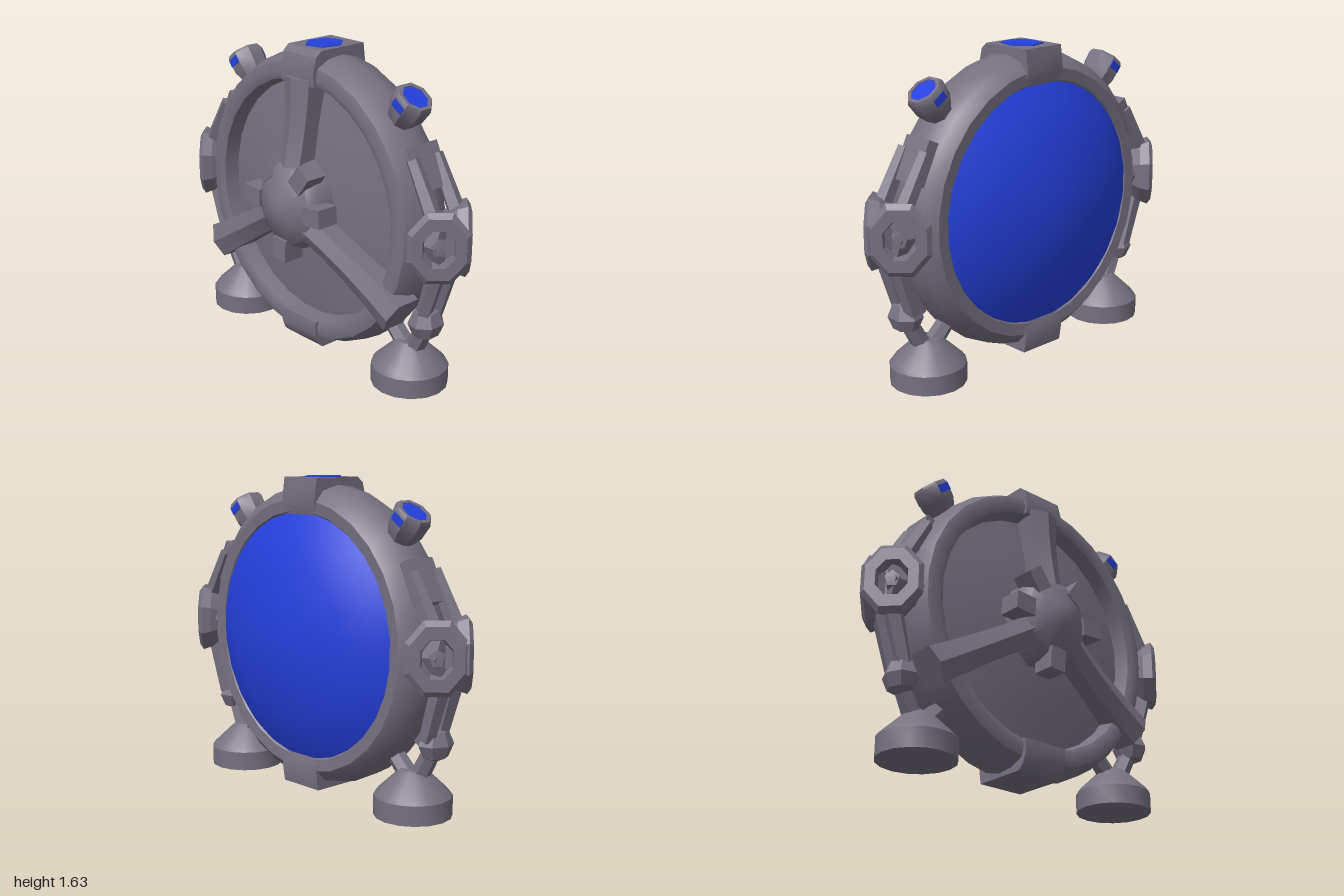
import * as THREE from 'three';
import { toCreasedNormals } from 'three/addons/utils/BufferGeometryUtils.js';
import { RoundedBoxGeometry } from 'three/addons/geometries/RoundedBoxGeometry.js';

const metal = new THREE.MeshStandardMaterial({ color: 0x767080 });
metal.name = 'grey metal';
const blue = new THREE.MeshStandardMaterial({ color: 0x2440dc });
blue.name = 'blue glass';

const CY = 0.82; // height of the wheel centre
const UP = new THREE.Vector3(0, 1, 0);
const V = (x, y, z) => new THREE.Vector3(x, y, z);

export function createModel() {
  const model = new THREE.Group();
  model.name = 'gateWheel';

  const add = (name, geo, mat = metal, parent = model, crease = 0.6) => {
    const mesh = new THREE.Mesh(crease ? toCreasedNormals(geo, crease) : geo, mat);
    mesh.name = name;
    parent.add(mesh);
    return mesh;
  };
  // Profile of [radius, z] pairs turned about the z axis
  const turned = (pts, sides) => {
    const g = new THREE.LatheGeometry(pts.map(([r, z]) => new THREE.Vector2(r, z)), sides, Math.PI / sides);
    return g.rotateX(Math.PI / 2);
  };
  // Tapered rod from a to b
  const rod = (name, a, b, ra, rb, sides = 6, mat = metal, parent = model) => {
    const dir = b.clone().sub(a);
    const m = add(name, new THREE.CylinderGeometry(rb, ra, dir.length(), sides), mat, parent);
    m.position.copy(a).add(b).multiplyScalar(0.5);
    m.quaternion.setFromUnitVectors(UP, dir.normalize());
    return m;
  };
  // Block with a slightly narrowed outer end, turned to an angle about the wheel centre
  const radial = (name, angle) => {
    const g = new THREE.Group();
    g.name = name;
    g.position.y = CY;
    g.rotation.z = angle - Math.PI / 2;
    model.add(g);
    return g;
  };

  // Wheel rim
  const rim = add('rim', turned([
    [0.61, -0.14], [0.64, -0.175], [0.7, -0.18], [0.755, -0.13], [0.78, -0.03], [0.77, 0.06],
    [0.735, 0.135], [0.68, 0.15], [0.645, 0.135], [0.63, 0.06], [0.61, -0.14],
  ], 28), metal, model, 0.75);
  rim.position.y = CY;
  rim.scale.x = 0.985;

  // Shallow front panel and domed rear window
  add('frontPanel', turned([[0.65, 0.05], [0.45, 0.085], [0.22, 0.115], [0, 0.12]], 28)).position.y = CY;
  add('rearWindow', turned([
    [0, -0.336], [0.1, -0.335], [0.25, -0.31], [0.4, -0.273], [0.53, -0.225], [0.635, -0.165],
  ], 24), blue, model, 1).position.y = CY;

  // Central hub
  const hub = add('hub', turned([
    [0.25, 0.08], [0.24, 0.19], [0.21, 0.255], [0.13, 0.29], [0.06, 0.325], [0, 0.33],
  ], 10), metal, model, 0.8);
  hub.position.y = CY + 0.01;
  hub.scale.x = 0.92;

  // Lugs around the hub
  for (const deg of [0, 50, 130, 180, 270]) {
    const g = radial('hubLug', THREE.MathUtils.degToRad(deg + 4 * Math.sign(Math.cos(deg * Math.PI / 180))));
    const lug = add('lug', new THREE.BoxGeometry(0.095, 0.12, 0.12), metal, g);
    lug.position.set(0, 0.225, 0.22);
  }

  // Three spokes, wide at the rim and raised at the hub
  for (const deg of [90, 211, 329]) {
    const len = deg === 90 ? 0.66 : 0.79;
    const geo = new THREE.BoxGeometry(1, 1, 1, 2, 4, 1);
    const p = geo.attributes.position;
    for (let i = 0; i < p.count; i++) {
      const t = p.getY(i) + 0.5;
      const edge = Math.abs(p.getX(i)) > 0.25;
      const front = 0.2 + 0.07 * (1 - t) ** 2 - (edge ? 0.035 : 0);
      p.setXYZ(i, p.getX(i) * (0.14 + 0.045 * t * t), 0.14 + t * (len - 0.14), p.getZ(i) > 0 ? front : 0.03);
    }
    geo.computeVertexNormals();
    add('spokeBar', geo, metal, radial('spoke', THREE.MathUtils.degToRad(deg)));
  }

  // Top and bottom clamps over the rim
  for (const [deg, half, outer] of [[90, 0.12, 0.805], [270, 0.13, 0.785]]) {
    const g = radial(deg === 90 ? 'topClamp' : 'bottomClamp', THREE.MathUtils.degToRad(deg));
    const s = new THREE.Shape([
      [0.63, 0.16], [0.62, -0.17], [0.69, -0.19], [outer, -0.175], [outer, 0.11], [outer - 0.03, 0.145], [0.7, 0.165],
    ].map(([r, z]) => new THREE.Vector2(-z, r)));
    const body = new THREE.ExtrudeGeometry(s, { depth: half * 2, bevelEnabled: false });
    body.translate(0, 0, -half).rotateY(Math.PI / 2);
    add('clampBody', body, metal, g);
  }
  const topPad = add('topWindow', new RoundedBoxGeometry(0.175, 0.2, 0.009, 3, 0.004), blue);
  const padShape = new THREE.Shape();
  padShape.absellipse(0, 0, 0.098, 0.11, 0, Math.PI * 2);
  topPad.geometry = new THREE.ExtrudeGeometry(padShape, { depth: 0.008, bevelEnabled: false, curveSegments: 3 });
  topPad.geometry.rotateZ(Math.PI / 12).rotateX(-Math.PI / 2);
  topPad.position.set(0, CY + 0.802, -0.02);

  for (const s of [1, -1]) {
    const side = new THREE.Group();
    side.name = s > 0 ? 'leftSide' : 'rightSide';
    model.add(side);
    const P = (x, y, z) => V(s * x, y, z);
    const link = (name, a, b, ra, rb, n) => rod(name, P(...a), P(...b), ra, rb, n, metal, side);

    // Shoulder lamp with blue lens and side slots
    const lamp = new THREE.Group();
    lamp.name = 'lamp';
    lamp.position.set(s * 0.63, 1.478, -0.015);
    lamp.quaternion.setFromUnitVectors(UP, P(0.6, 0.8, 0).normalize());
    side.add(lamp);
    const housing = new THREE.LatheGeometry([
      [0.065, -0.17], [0.095, -0.1], [0.1, -0.02], [0.088, 0], [0.07, 0], [0.066, -0.015], [0, -0.015],
    ].map(([r, y]) => new THREE.Vector2(r, y)), 8, Math.PI / 8);
    add('lampHousing', housing, metal, lamp);
    add('lampLens', new THREE.CylinderGeometry(0.068, 0.068, 0.008, 8).rotateY(Math.PI / 8), blue, lamp).position.y = -0.009;
    for (const f of [1, -1]) {
      add('lampSlot', new THREE.BoxGeometry(0.07, 0.04, 0.008), blue, lamp).position.set(0, -0.045, f * 0.0915);
    }

    // Paired thruster nuts set in a V
    for (const f of [1, -1]) {
      const nut = new THREE.Group();
      nut.name = f > 0 ? 'frontNut' : 'rearNut';
      nut.position.set(s * (f > 0 ? 0.9 : 0.89), CY, f > 0 ? 0.09 : -0.137);
      nut.rotation.y = s * (f > 0 ? 1 : 3) * Math.PI / 4;
      nut.scale.x = 0.84;
      side.add(nut);
      add('nutBody', turned([
        [0, -0.15], [0.11, -0.15], [0.175, -0.07], [0.193, -0.02], [0.165, 0], [0.1, 0], [0.085, -0.06], [0, -0.06],
      ], 8), metal, nut, 0.3);
      add('nutCore', turned([[0.055, -0.07], [0.045, -0.015], [0, -0.01]], 5), metal, nut, 0.3);
    }
    link('nutMount', [0.7, CY, -0.02], [0.88, CY, -0.02], 0.14, 0.12, 8);

    // Upper brace and shoulder pad on the rim
    for (const z of [0.06, -0.1]) link('upperBrace', [0.83, 0.95, z], [0.69, 1.2, z], 0.045, 0.035, 5);
    const pad = add('shoulderPad', new THREE.BoxGeometry(0.06, 0.22, 0.17), metal, side);
    pad.position.set(s * 0.7, 1.15, -0.03);
    pad.rotation.z = s * 0.45;

    // Leg: twin rods, knee and ankle rods
    for (const z of [0.035, -0.055]) {
      link('upperLeg', [0.85, 0.7, z], [0.76, 0.4, z], 0.05, 0.04, 5);
    }
    const knee = add('knee', new THREE.SphereGeometry(0.1, 7, 4), metal, side, 0.5);
    knee.scale.set(0.85, 0.9, 1);
    knee.position.set(s * 0.76, 0.375, 0.005);
    link('lowerLeg', [0.76, 0.36, 0], [0.66, 0.17, -0.01], 0.045, 0.05, 6);
    link('innerStrut', [0.62, 0.18, -0.015], [0.48, 0.32, -0.015], 0.05, 0.045, 6);

    // Round foot
    const foot = new THREE.LatheGeometry([
      [0, 0], [0.195, 0], [0.195, 0.1], [0.18, 0.12], [0.08, 0.215], [0.06, 0.23], [0, 0.23],
    ].map(([r, y]) => new THREE.Vector2(r, y)), 16);
    add('foot', foot, metal, side).position.set(s * 0.64, 0, -0.015);
  }
  return model;
}
